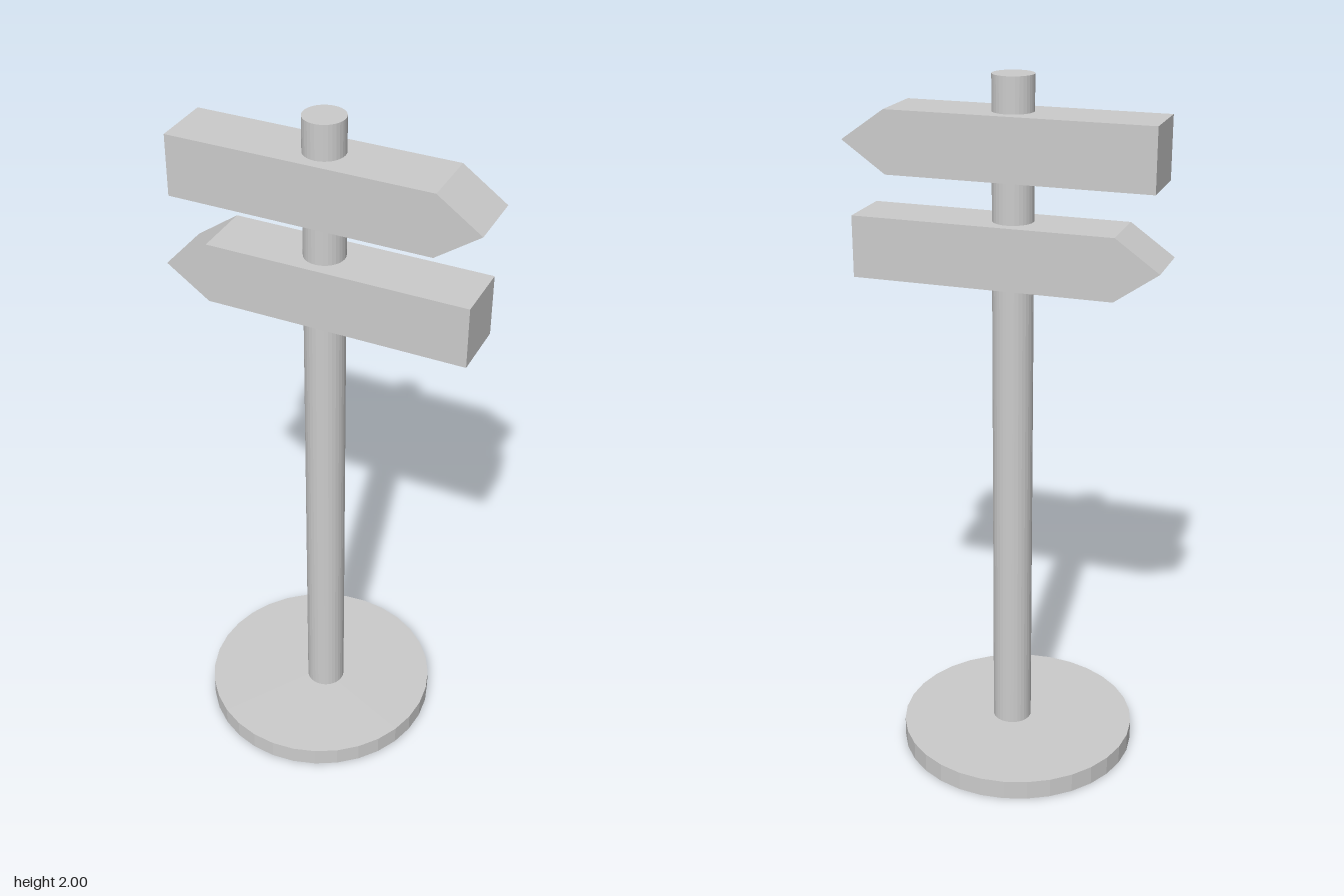
import * as THREE from 'three';

const material = new THREE.MeshStandardMaterial({ color: 0xcccccc, flatShading: true });

function addMesh(group, name, geometry, x, y, z) {
  const mesh = new THREE.Mesh(geometry, material);
  mesh.name = name;
  mesh.position.set(x, y, z);
  group.add(mesh);
  return mesh;
}

// Thick arrow board pointing along +x, centred on its height and depth
function arrowGeometry() {
  const h = 0.0865, depth = 0.173;
  const outline = new THREE.Shape([
    new THREE.Vector2(-0.42, -h),
    new THREE.Vector2(0.317, -h),
    new THREE.Vector2(0.44, 0),
    new THREE.Vector2(0.317, h),
    new THREE.Vector2(-0.42, h),
  ]);
  return new THREE.ExtrudeGeometry(outline, { depth, bevelEnabled: false })
    .translate(0, 0, -depth / 2);
}

export function createModel() {
  const group = new THREE.Group();
  group.name = 'signpost';

  // Round foot, set slightly off the pole's axis
  const baseHeight = 0.057;
  addMesh(group, 'base', new THREE.CylinderGeometry(0.346, 0.346, baseHeight, 32), -0.034, baseHeight / 2, 0);

  // Pole
  const poleHeight = 2 - baseHeight;
  addMesh(group, 'pole', new THREE.CylinderGeometry(0.057, 0.057, poleHeight, 32), -0.014, baseHeight + poleHeight / 2, 0.006);

  // Two boards pointing in opposite directions
  const arrow = arrowGeometry();
  addMesh(group, 'upperSign', arrow, 0, 1.817, 0.006);
  addMesh(group, 'lowerSign', arrow, 0, 1.525, 0.006).rotation.y = Math.PI;

  return group;
}
